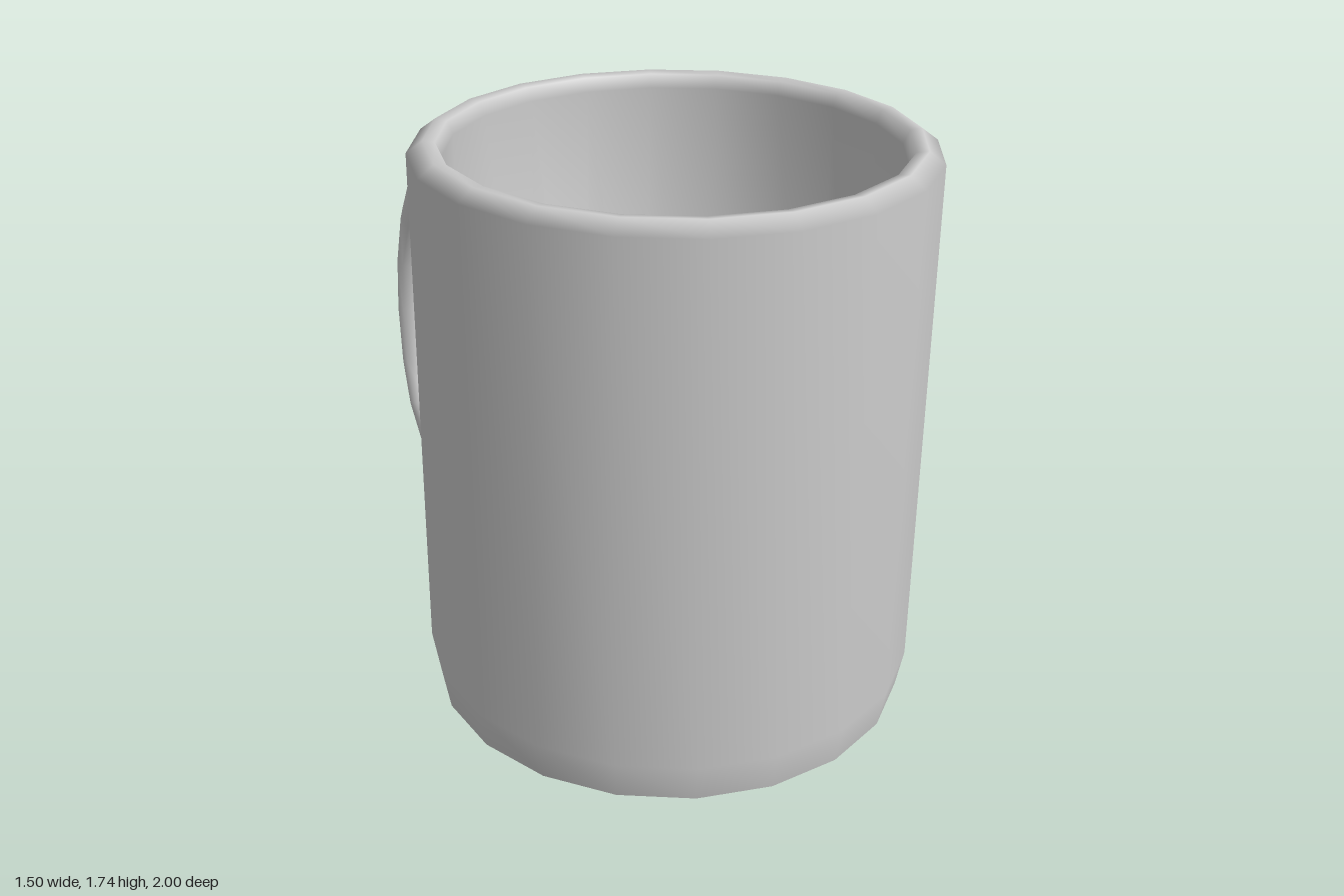
import * as THREE from 'three';

const SIDES = 20;
const BODY_Z = 0.245;

const material = new THREE.MeshStandardMaterial({ color: 0xcccccc });

function addMesh(parent, name, geometry) {
  const mesh = new THREE.Mesh(geometry, material);
  mesh.name = name;
  parent.add(mesh);
  return mesh;
}

// Outer wall, rounded rim, inner wall and floor as one turned profile
function bodyGeometry() {
  const profile = [
    [0.73, 0], [0.752, 0.12], [0.752, 1.7], [0.705, 1.735],
    [0.67, 1.73], [0.652, 1.69], [0.652, 0.12], [0, 0.12],
  ].map(([r, y]) => new THREE.Vector2(r, y));
  return new THREE.LatheGeometry(profile, SIDES);
}

// Bevelled strap swept through stations of [outer z, outer y, inner z, inner y]
function handleGeometry() {
  const stations = [
    [-0.45, 1.522, -0.45, 1.345],
    [-0.61, 1.513, -0.60, 1.355],
    [-0.71, 1.49, -0.67, 1.35],
    [-0.82, 1.455, -0.72, 1.337],
    [-0.897, 1.374, -0.79, 1.278],
    [-0.96, 1.23, -0.86, 1.16],
    [-0.99, 1.053, -0.91, 1.027],
    [-1.0, 0.866, -0.925, 0.866],
    [-0.986, 0.668, -0.918, 0.675],
    [-0.955, 0.508, -0.882, 0.54],
    [-0.893, 0.358, -0.80, 0.435],
    [-0.824, 0.278, -0.74, 0.39],
    [-0.68, 0.235, -0.66, 0.374],
    [-0.45, 0.212, -0.45, 0.392],
  ];
  const centreX = -0.01;
  const bevel = 0.03;
  const positions = [];
  const index = [];

  stations.forEach(([oz, oy, iz, iy], i) => {
    // The strap is a little wider where it meets the body
    const t = i / (stations.length - 1);
    const w = 0.157 - 0.012 * Math.sin(Math.PI * t);
    const section = [
      [-w, 0.3], [-w, 0.7], [-w + bevel, 1], [w - bevel, 1],
      [w, 0.7], [w, 0.3], [w - bevel, 0], [-w + bevel, 0],
    ];
    for (const [x, v] of section) {
      positions.push(centreX + x, iy + (oy - iy) * v, iz + (oz - iz) * v);
    }
  });

  for (let i = 0; i < stations.length - 1; i++) {
    for (let j = 0; j < 8; j++) {
      const a = i * 8 + j;
      const b = i * 8 + (j + 1) % 8;
      index.push(a, b, a + 8, b, b + 8, a + 8);
    }
  }

  const geometry = new THREE.BufferGeometry();
  geometry.setAttribute('position', new THREE.Float32BufferAttribute(positions, 3));
  geometry.setIndex(index);
  geometry.computeVertexNormals();
  return geometry;
}

export function createModel() {
  const mug = new THREE.Group();
  mug.name = 'mug';

  addMesh(mug, 'body', bodyGeometry()).position.z = BODY_Z;

  // Flat underside
  const base = addMesh(mug, 'base', new THREE.CircleGeometry(0.73, SIDES));
  base.rotation.x = Math.PI / 2;
  base.position.z = BODY_Z;

  addMesh(mug, 'handle', handleGeometry());

  return mug;
}
